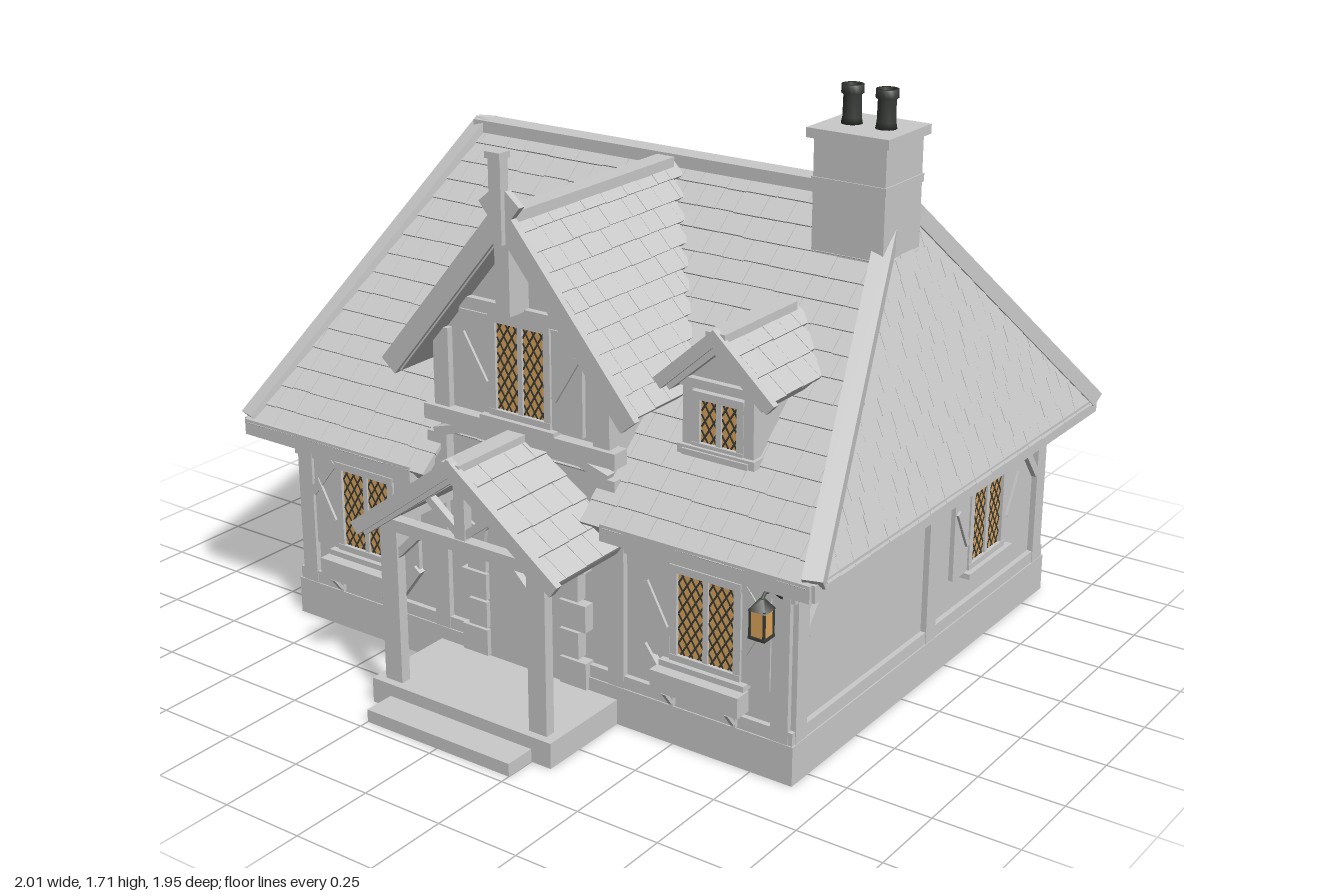
import * as THREE from 'three';
import { mergeGeometries } from 'three/addons/utils/BufferGeometryUtils.js';

const mat = (name, color) => Object.assign(new THREE.MeshStandardMaterial({ color }), { name });
const V = (x, y, z) => new THREE.Vector3(x, y, z);
const ZC = -0.15; // centre of the house body in z

export function createModel() {
  const stone = mat('stoneGrey', 0xcacaca);
  const glass = mat('amberGlass', 0xe0a65a);
  const iron = mat('darkIron', 0x393d39);
  const model = new THREE.Group();
  model.name = 'cottage';
  let seed = 7;
  const rnd = () => (seed = (seed * 16807) % 2147483647) / 2147483647;

  const group = (name, parent = model) => {
    const g = new THREE.Group();
    g.name = name;
    parent.add(g);
    return g;
  };
  const add = (p, name, geo, m = stone) => {
    const mesh = new THREE.Mesh(geo, m);
    mesh.name = name;
    p.add(mesh);
    return mesh;
  };
  // box given by its limits
  const box = (p, name, x0, x1, y0, y1, z0, z1, m) => add(p, name,
    new THREE.BoxGeometry(x1 - x0, y1 - y0, z1 - z0).translate((x0 + x1) / 2, (y0 + y1) / 2, (z0 + z1) / 2), m);
  // straight timber between two points
  const beam = (p, name, a, b, w, h, m) => {
    const mesh = add(p, name, new THREE.BoxGeometry(w, h, a.distanceTo(b)), m);
    mesh.position.copy(a).lerp(b, 0.5);
    mesh.quaternion.setFromRotationMatrix(new THREE.Matrix4().lookAt(b, a, V(0, 1, 0)));
  };
  const plate = (pts, depth) => new THREE.ExtrudeGeometry(
    new THREE.Shape(pts.map(([x, y]) => new THREE.Vector2(x, y))), { depth, bevelEnabled: false });

  // sloping roof slab with courses of tiles; range(v) gives the limits of a course
  const slope = (p, name, origin, u, v, pts, L, range, skip = () => false) => {
    const n = Math.round(v.y / 0.049), c = L / n, tiles = [];
    v = v.clone().normalize();
    const basis = new THREE.Matrix4().makeBasis(u, v, u.clone().cross(v)).setPosition(origin);
    add(p, name + 'Slab', plate(pts, 0.035).translate(0, 0, -0.035).applyMatrix4(basis));
    for (let i = 0; i < n; i++) {
      const [a, b] = range((i + 0.5) * c);
      for (let x = a - rnd() * 0.06; x < b;) {
        const w = 0.06 + rnd() * 0.045, x0 = Math.max(a, x), x1 = Math.min(b, x + w - 0.0015);
        x += w;
        if (x1 - x0 < 0.012 || skip((x0 + x1) / 2, (i + 0.5) * c)) continue;
        tiles.push(new THREE.BoxGeometry(x1 - x0, c * 1.06, 0.012).rotateX(-0.07)
          .translate((x0 + x1) / 2, (i + 0.5) * c + (rnd() - 0.5) * 0.003, 0.005 + rnd() * 0.001).applyMatrix4(basis));
      }
    }
    add(p, name + 'Tiles', mergeGeometries(tiles));
  };

  // leaded window facing +z, with frame, sill, optional shutters and inner face
  const windowUnit = (p, x, y, w, h, shutter = 0, inside = 0) => {
    const g = group('window', p), f = 0.022;
    g.position.set(x, y, 0);
    box(g, 'pane', -w / 2, w / 2, -h / 2, h / 2, 0, 0.008, glass);
    if (inside) {
      box(g, 'innerPane', -w * 0.45, w * 0.45, -h / 2, h / 2, -inside - 0.006, -inside, glass);
      box(g, 'innerLintel', -w / 2 - 0.01, w / 2 + 0.01, h / 2, h / 2 + 0.02, -inside - 0.02, -inside);
    }
    const cw = w / 2 - 0.008, m = 1.6;
    for (const s of [-1, 1]) {
      const cx = s * (w / 4 + 0.003);
      for (const d of [-1, 1]) for (let k = -8; k <= 8; k++) {
        const c = (k + 0.5) * 0.044;
        const ends = [(-h / 2 - c) / (m * d), (h / 2 - c) / (m * d)].sort((a, b) => a - b);
        const a = Math.max(-cw / 2, ends[0]), b = Math.min(cw / 2, ends[1]);
        if (b - a > 0.005) beam(g, 'lead', V(cx + a, m * d * a + c, 0.008), V(cx + b, m * d * b + c, 0.008), 0.003, 0.005, iron);
      }
      const ox = w / 2 + f;
      box(g, 'frameSide', s > 0 ? w / 2 : -ox, s > 0 ? ox : -w / 2, -h / 2, h / 2, 0, 0.018);
      box(g, 'frameRail', -ox, ox, s > 0 ? h / 2 : -h / 2 - f, s > 0 ? h / 2 + f : -h / 2, 0, 0.02);
      if (shutter) {
        const a = s * (ox + 0.003), b = s * (ox + shutter);
        box(g, 'shutter', Math.min(a, b), Math.max(a, b), -h / 2 - 0.02, h / 2 + 0.015, 0, 0.014);
        beam(g, 'shutterBrace', V(a + s * 0.01, -h / 2 + 0.07, 0.016), V(b - s * 0.012, h / 2 - 0.05, 0.016), 0.012, 0.018);
      }
    }
    box(g, 'mullion', -0.008, 0.008, -h / 2, h / 2, 0, 0.015);
    box(g, 'sill', -w / 2 - 0.045, w / 2 + 0.045, -h / 2 - 0.035, -h / 2 - 0.018, 0, 0.035);
  };

  // hollow walls, plinth and timber framing, one side at a time
  const side = (name, angle, half, dist, posts, windows, door) => {
    const g = group(name);
    g.position.set(Math.sin(angle) * dist, 0, ZC + Math.cos(angle) * dist);
    g.rotation.y = angle;
    box(g, 'plinth', -half, half, 0, 0.115, -0.06, 0);
    const f = group('framing', g);
    f.position.z = -0.02;
    box(f, 'wall', -half + 0.02, half - 0.02, 0.11, 0.7, -0.04, 0);
    const e = half - 0.004;
    for (const [a, b] of door ? [[-e, -0.2], [0.2, e]] : [[-e, e]]) {
      box(f, 'sillBeam', a, b, 0.115, 0.152, 0, 0.016);
      box(f, 'midRail', a, b, 0.52, 0.555, 0, 0.016);
      box(f, 'topPlate', a, b, 0.585, 0.62, 0, 0.016);
    }
    for (const x of [-half + 0.045, half - 0.045, ...posts]) box(f, 'post', x - 0.027, x + 0.027, 0.115, 0.62, 0, 0.018);
    for (const s of [-1, 1]) beam(f, 'cornerBrace', V(s * (half - 0.07), 0.41, 0.01), V(s * (half - 0.16), 0.525, 0.01), 0.016, 0.025);
    for (const x of windows) windowUnit(f, x, 0.39, 0.18, 0.24, 0.09, 0.04);
    return f;
  };
  const front = side('frontWall', 0, 0.88, 0.73, [-0.31, 0.31], [-0.6, 0.6], true);
  side('rightHandWall', Math.PI / 2, 0.73, 0.88, [0.01], [0.34]);
  side('backWall', Math.PI, 0.88, 0.73, [-0.18, 0.18], [-0.53, 0.53]);
  side('leftHandWall', -Math.PI / 2, 0.73, 0.88, [0.01], [0.34]);

  // flower boxes and the low braces beside them
  for (const s of [-1, 1]) {
    beam(front, 'lowBrace', V(s * 0.485, 0.155, 0.012), V(s * 0.4, 0.27, 0.012), 0.022, 0.028);
    const g = group('flowerBox', front);
    g.position.x = s * 0.6;
    box(g, 'trough', -0.14, 0.14, 0.175, 0.235, 0.016, 0.07);
    for (const x of [-0.1, 0.1]) {
      box(g, 'bracket', x - 0.007, x + 0.007, 0.12, 0.175, 0.016, 0.028);
      beam(g, 'bracketStrut', V(x, 0.13, 0.028), V(x, 0.172, 0.06), 0.012, 0.01);
    }
  }

  // arched door with stone surround
  const arch = new THREE.Shape().moveTo(-0.14, 0.05).lineTo(0.14, 0.05).lineTo(0.14, 0.42);
  arch.absarc(0, 0.42, 0.14, 0, Math.PI, false);
  add(front, 'door', new THREE.ExtrudeGeometry(arch, { depth: 0.07, bevelEnabled: false, curveSegments: 16 }).translate(0, 0, -0.05));
  box(front, 'threshold', -0.15, 0.15, 0.05, 0.075, -0.085, -0.03);
  for (const s of [-1, 1]) for (let i = 0; i < 4; i++) {
    const w = i % 2 ? 0.065 : 0.09;
    box(front, 'jambStone', s > 0 ? 0.13 : -0.13 - w, s > 0 ? 0.13 + w : -0.13, 0.08 + i * 0.087, 0.16 + i * 0.087, 0, 0.035);
  }
  for (let i = 0; i < 9; i++) {
    const a = (i + 0.5) * Math.PI / 9, c = Math.cos(a), d = Math.sin(a);
    beam(front, 'archStone', V(c * 0.135, 0.42 + d * 0.135, 0.017), V(c * 0.215, 0.42 + d * 0.215, 0.017), 0.035, 0.055);
  }

  // main hipped roof, with a notch behind the porch
  const roof = group('mainRoof');
  const E = 0.975, R = 0.715, D = 0.815, Y0 = 0.62, RISE = 0.78;
  const L = Math.hypot(RISE, D), LS = Math.hypot(RISE, E - R), N = 0.3, NV = 0.15;
  const main = v => { const h = E - (E - R) * v / L; return [-h, h]; };
  slope(roof, 'frontSlope', V(0, Y0, ZC + D), V(1, 0, 0), V(0, RISE, -D),
    [[-E, 0], [-N, 0], [-N, NV], [N, NV], [N, 0], [E, 0], [R, L], [-R, L]], L, main, (u, v) => Math.abs(u) < N && v < NV);
  slope(roof, 'backSlope', V(0, Y0, ZC - D), V(-1, 0, 0), V(0, RISE, D), [[-E, 0], [E, 0], [R, L], [-R, L]], L, main);
  const F = 0.01; // fascia stands this far outside the tile edge
  for (const s of [-1, 1]) {
    slope(roof, 'hipSlope', V(s * E, Y0, ZC), V(0, 0, -s), V(-s * (E - R), RISE, 0), [[-D, 0], [D, 0], [0, LS]], LS,
      v => [-D * (1 - v / LS), D * (1 - v / LS)]);
    for (const q of [-1, 1]) beam(roof, 'hipBeam', V(s * (E - 0.003), Y0 + 0.015, ZC + q * D * 0.985), V(s * R, Y0 + RISE + 0.01, ZC), 0.055, 0.045);
    box(roof, 'sideFascia', s > 0 ? E - 0.015 : -E - F, s > 0 ? E + F : -E + 0.015, 0.59, 0.638, ZC - D, ZC + D);
    box(roof, 'frontFascia', s > 0 ? 0.33 : -E, s > 0 ? E : -0.33, 0.59, 0.638, ZC + D - 0.02, ZC + D + F);
  }
  box(roof, 'backFascia', -E, E, 0.59, 0.638, ZC - D - F, ZC - D + 0.02);
  box(roof, 'ridgeBeam', -R - 0.02, R + 0.02, 1.385, 1.422, ZC - 0.035, ZC + 0.035);

  // pitched roof running back from zF; zE and zR are where eave and ridge end,
  // cross is how far the bargeboards run past the apex
  const gable = (g, cx, half, yE, yR, zF, zE, zR, board, cross) => {
    const len = Math.hypot(half, yR - yE), a = zF - zE, b = zF - zR, k = (yR - yE) / half;
    for (const s of [-1, 1]) {
      slope(g, 'slope', V(cx + s * half, yE, zF), V(0, 0, -s), V(-s * half, yR - yE, 0),
        [[0, 0], [s * a, 0], [s * b, len], [0, len]], len,
        v => { const e = a + (b - a) * v / len; return s > 0 ? [0, e] : [-e, 0]; });
      beam(g, 'bargeboard', V(cx + s * (half + 0.01), yE - 0.012, zF), V(cx - s * cross, yR + cross * k, zF), 0.022, board);
    }
    box(g, 'ridgeCap', cx - 0.03, cx + 0.03, yR - 0.02, yR + 0.012, zR + 0.04, zF);
  };
  // triangular side wall of a dormer, resting on the roof
  const cheek = (g, x, zF, zB, y0, y1) => add(g, 'cheek',
    plate([[-zF, y0], [-zB, y1], [-zF, y1]], 0.025).rotateY(Math.PI / 2).translate(x - 0.0125, 0, 0));

  // large gabled dormer
  const big = group('largeDormer');
  gable(big, 0, 0.4, 0.93, 1.41, 0.645, 0.34, -0.13, 0.06, 0.045);
  add(big, 'gableWall', plate([[-0.3, 0.62], [0.3, 0.62], [0.3, 1.02], [0, 1.38], [-0.3, 1.02]], 0.05).translate(0, 0, 0.52));
  for (const s of [-1, 1]) {
    cheek(big, s * 0.287, 0.56, 0.23, 0.7, 1.03);
    box(big, 'post', s * 0.275 - 0.027, s * 0.275 + 0.027, 0.8, 1.04, 0.56, 0.59);
    box(big, 'corbel', s * 0.29 - 0.035, s * 0.29 + 0.035, 0.62, 0.73, 0.55, 0.6);
    beam(big, 'jettyBrace', V(s * 0.3, 0.73, 0.585), V(s * 0.1, 0.79, 0.585), 0.03, 0.025);
  }
  box(big, 'jettyBeam', -0.33, 0.33, 0.765, 0.81, 0.55, 0.605);
  box(big, 'collarBeam', -0.23, 0.23, 1.11, 1.145, 0.56, 0.59);
  box(big, 'kingPost', -0.024, 0.024, 1.14, 1.42, 0.56, 0.65);
  box(big, 'finial', -0.02, 0.02, 1.34, 1.57, 0.64, 0.672);
  box(big, 'finialCap', -0.025, 0.025, 1.57, 1.588, 0.635, 0.68);
  const bw = group('dormerWindow', big);
  bw.position.z = 0.57;
  windowUnit(bw, 0, 0.965, 0.165, 0.25, 0.105);

  // small dormer
  const small = group('smallDormer');
  gable(small, 0.575, 0.165, 1.01, 1.155, 0.505, 0.25, 0.12, 0.035, 0.012);
  add(small, 'gableWall', plate([[0.465, 0.79], [0.685, 0.79], [0.685, 1.03], [0.575, 1.13], [0.465, 1.03]], 0.03).translate(0, 0, 0.44));
  for (const s of [-1, 1]) {
    cheek(small, 0.575 + s * 0.0975, 0.46, 0.23, 0.8, 1.035);
    box(small, 'post', 0.575 + s * 0.095 - 0.015, 0.575 + s * 0.095 + 0.015, 0.82, 1.02, 0.46, 0.488);
  }
  box(small, 'sillBeam', 0.455, 0.695, 0.815, 0.84, 0.45, 0.5);
  box(small, 'headBeam', 0.455, 0.695, 1.0, 1.025, 0.46, 0.49);
  const sw = group('dormerWindow', small);
  sw.position.z = 0.471;
  windowUnit(sw, 0.575, 0.91, 0.115, 0.12);

  // porch
  const porch = group('porch');
  box(porch, 'platform', -0.315, 0.315, 0, 0.075, 0.56, 0.875);
  box(porch, 'step', -0.25, 0.25, 0, 0.038, 0.87, 0.97);
  gable(porch, 0, 0.335, 0.54, 0.785, 0.88, 0.57, 0.53, 0.04, 0.015);
  box(porch, 'tieBeam', -0.29, 0.29, 0.535, 0.57, 0.82, 0.855);
  box(porch, 'kingPost', -0.018, 0.018, 0.57, 0.76, 0.82, 0.85);
  for (const s of [-1, 1]) {
    box(porch, 'post', s * 0.255 - 0.03, s * 0.255 + 0.03, 0.075, 0.55, 0.82, 0.852);
    box(porch, 'eaveBeam', s * 0.265 - 0.02, s * 0.265 + 0.02, 0.535, 0.57, 0.57, 0.85);
    beam(porch, 'principalRafter', V(s * 0.29, 0.55, 0.84), V(0, 0.755, 0.84), 0.03, 0.03);
    beam(porch, 'strut', V(s * 0.015, 0.585, 0.835), V(s * 0.12, 0.665, 0.835), 0.022, 0.022);
    beam(porch, 'frontBrace', V(s * 0.235, 0.46, 0.835), V(s * 0.155, 0.54, 0.835), 0.022, 0.022);
    beam(porch, 'sideBrace', V(s * 0.255, 0.44, 0.835), V(s * 0.255, 0.54, 0.75), 0.022, 0.022);
  }

  // chimney with two pots
  const chimney = group('chimney');
  box(chimney, 'stack', 0.553, 0.774, 1.15, 1.58, -0.185, 0.012);
  box(chimney, 'band', 0.549, 0.778, 1.445, 1.468, -0.189, 0.016);
  box(chimney, 'cap', 0.537, 0.788, 1.575, 1.602, -0.2, 0.028);
  const potProfile = [[0, 0], [0.03, 0], [0.026, 0.02], [0.025, 0.08], [0.031, 0.085], [0.031, 0.108], [0.02, 0.108], [0.018, 0.04], [0, 0.04]];
  for (const x of [0.61, 0.715]) add(chimney, 'pot',
    new THREE.LatheGeometry(potProfile.map(([r, y]) => new THREE.Vector2(r, y)), 16).translate(x, 1.6, -0.085), iron);

  // hanging lantern
  const lamp = group('lantern');
  lamp.position.set(0.835, 0, 0.67);
  box(lamp, 'lampGlass', -0.021, 0.021, 0.465, 0.535, -0.021, 0.021, glass);
  for (const x of [-1, 1]) for (const z of [-1, 1]) box(lamp, 'cageBar', x * 0.021 - 0.003, x * 0.021 + 0.003, 0.46, 0.54, z * 0.021 - 0.003, z * 0.021 + 0.003, iron);
  box(lamp, 'lampBase', -0.025, 0.025, 0.457, 0.465, -0.025, 0.025, iron);
  add(lamp, 'lampRoof', new THREE.CylinderGeometry(0.008, 0.037, 0.03, 4).rotateY(Math.PI / 4).translate(0, 0.55, 0), iron);
  add(lamp, 'bracket', new THREE.TubeGeometry(new THREE.CatmullRomCurve3(
    [V(0, 0.56, 0), V(0, 0.575, -0.015), V(0, 0.565, -0.05), V(0, 0.53, -0.095)]), 12, 0.005, 6), iron);
  return model;
}
